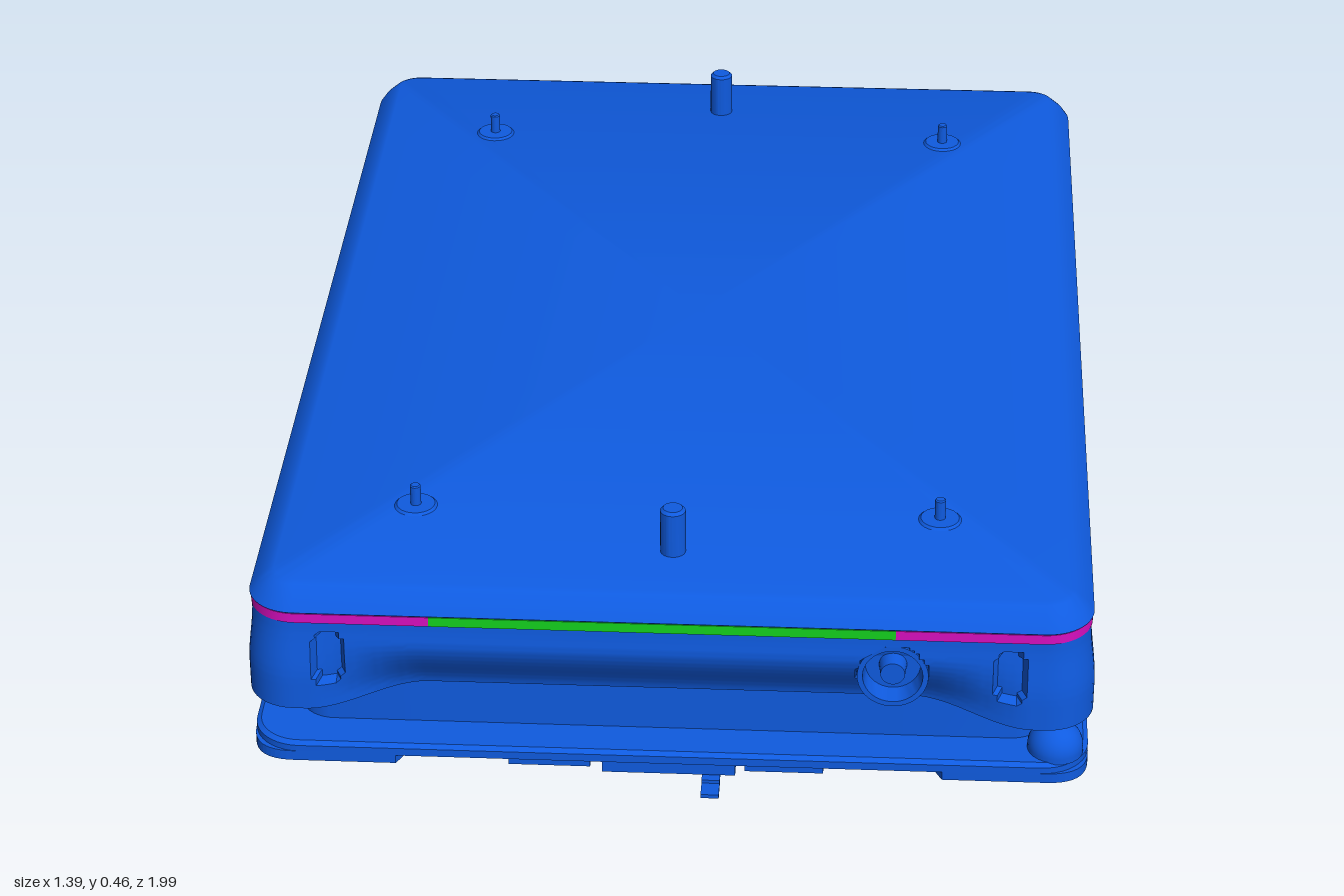
import * as THREE from 'three';
import { toCreasedNormals } from 'three/addons/utils/BufferGeometryUtils.js';

const paint = (c) => new THREE.MeshStandardMaterial({ color: c });
const BLUE = paint(0x0f5be0);
const ramp = THREE.MathUtils.smoothstep;

// Rounded rectangle in plan: points with outward normals
function outline(hx, hz, r, step) {
  const pts = [];
  const corners = [[1, 1], [-1, 1], [-1, -1], [1, -1]];
  corners.forEach(([sx, sz], k) => {
    const n = 10;
    let p;
    for (let i = 0; i <= n; i++) {
      const a = (k + i / n) * Math.PI / 2;
      const nx = Math.cos(a), nz = Math.sin(a);
      p = { x: sx * (hx - r) + nx * r, z: sz * (hz - r) + nz * r, nx, nz };
      pts.push(p);
    }
    const len = 2 * ((k % 2 ? hz : hx) - r);
    const m = Math.max(1, Math.round(len / step));
    for (let i = 1; i < m; i++) {
      const t = len * i / m;
      pts.push({ ...p, x: p.x - p.nz * t, z: p.z + p.nx * t });
    }
  });
  return pts;
}

// Skin between rows of [x, y, z] points, bottom to top
function loft(rows, keep = () => true, crease = 0.6) {
  const n = rows[0].length, index = [];
  for (let j = 0; j + 1 < rows.length; j++) {
    for (let i = 0; i < n; i++) {
      if (!keep(i)) continue;
      const k = (i + 1) % n;
      const a = j * n + i, b = j * n + k, c = a + n, d = b + n;
      index.push(a, c, b, b, c, d);
    }
  }
  const g = new THREE.BufferGeometry();
  g.setAttribute('position', new THREE.Float32BufferAttribute(rows.flat(2), 3));
  g.setIndex(index);
  return toCreasedNormals(g, crease);
}
const row = (pts, inset, y) => pts.map((p) => [p.x - p.nx * inset, y, p.z - p.nz * inset]);
const centre = (pts, y) => pts.map(() => [0, y, 0]);

// Closed slab from [inset, y] steps
function slab(hx, hz, r, steps) {
  const pts = outline(hx, hz, r, 0.2);
  return loft([centre(pts, steps[0][1]), ...steps.map(([s, y]) => row(pts, s, y)),
    centre(pts, steps[steps.length - 1][1])]);
}

const HX = 0.695, HZ = 0.982, R = 0.08, LED_Y = 0.313;
const BUTTON_Y = 0.24, BUTTON_R = 0.055;

// Depth of the button pockets and upright slots at a wall point
function pocket(p, y) {
  const front = Math.abs(p.nz) > 0.999, side = Math.abs(p.nx) > 0.999;
  if (!front && !side) return 0;
  const s = front ? p.x * Math.sign(p.nz) : -p.z * Math.sign(p.nx);
  const d = Math.hypot(s - (front ? 0.365 : 0.605), y - BUTTON_Y);
  if (d < BUTTON_R) return 0.035;
  if (!front) return 0;
  const dy = Math.max(0, Math.abs(y - 0.245) - 0.028);
  return Math.hypot(Math.abs(s) - 0.555, dy) < 0.021 ? 0.02 : 0;
}

// Shell wall: hollowed low along each side, full at the corners
function shellGeometry() {
  const pts = outline(HX, HZ, R, 0.008);
  const corner = pts.map((p) => {
    const d = Math.abs(p.nz) > Math.abs(p.nx) ? HX - Math.abs(p.x) : HZ - Math.abs(p.z);
    return 1 - ramp(d, 0.1, 0.3);
  });
  const rows = [], N = 26;
  for (let j = 0; j <= N; j++) {
    rows.push(pts.map((p, i) => {
      const low = 0.175 - 0.025 * corner[i];
      const y = low + (LED_Y - low) * j / N;
      const hollow = 0.055 * (1 - corner[i]) * (1 - ramp(y, 0.165, 0.28));
      const s = 0.01 * ramp(y, 0.2, LED_Y) + hollow + pocket(p, y);
      return [p.x - p.nx * s, y, p.z - p.nz * s];
    }));
  }
  return loft([centre(pts, 0.175), row(pts, 0.075, 0.175), ...rows]);
}

export function createModel() {
  const model = new THREE.Group();
  const body = new THREE.Group();
  body.name = 'body';
  body.position.z = -0.0075;
  model.add(body);

  const add = (name, geo, x = 0, y = 0, z = 0, mat = BLUE, parent = body) => {
    const m = new THREE.Mesh(geo, mat);
    m.name = name;
    m.position.set(x, y, z);
    parent.add(m);
    return m;
  };
  const box = (name, x0, x1, y0, y1, z0, z1) => add(name,
    new THREE.BoxGeometry(x1 - x0, y1 - y0, z1 - z0), (x0 + x1) / 2, (y0 + y1) / 2, (z0 + z1) / 2);

  // Base plate, with a lower skin notched at the front
  add('basePlate', slab(0.69, 0.98, 0.08, [[0, 0.06], [0, 0.074], [0.008, 0.08]]));
  const skin = new THREE.Shape();
  skin.moveTo(-0.62, -0.98).lineTo(0.62, -0.98).quadraticCurveTo(0.69, -0.98, 0.69, -0.91);
  skin.lineTo(0.69, 0.91).quadraticCurveTo(0.69, 0.98, 0.62, 0.98).lineTo(0.45, 0.98);
  skin.lineTo(0.41, 0.9).lineTo(-0.41, 0.9).lineTo(-0.45, 0.98).lineTo(-0.62, 0.98);
  skin.quadraticCurveTo(-0.69, 0.98, -0.69, 0.91).lineTo(-0.69, -0.91);
  skin.quadraticCurveTo(-0.69, -0.98, -0.62, -0.98);
  const skinGeo = new THREE.ExtrudeGeometry(skin, { depth: 0.018, bevelEnabled: false });
  add('lowerSkin', skinGeo.rotateX(Math.PI / 2), 0, 0.063, 0);

  // Chassis between plate and shell
  add('chassis', slab(0.62, 0.905, 0.06, [[0, 0.078], [0, 0.19]]));

  // Shell, light strip and top cover
  add('shell', shellGeometry());
  const lid = outline(0.687, 0.976, R, 0.02);
  const stripRows = [row(lid, 0.005, LED_Y), row(lid, 0, LED_Y), row(lid, 0, 0.33), row(lid, 0.005, 0.33)];
  const zone = (p) => (Math.abs(p.x) < 0.37 || Math.abs(p.z) < 0.735 ? 'side' : p.z > 0 ? 'front' : 'back');
  const lights = { side: 0x14d21e, front: 0xd80fc0, back: 0xe0a80c };
  for (const [key, color] of Object.entries(lights)) {
    add(key + 'LightStrip', loft(stripRows, (i) => zone(lid[i]) === key), 0, 0, 0, paint(color));
  }
  add('topCover', slab(0.689, 0.978, R, [[0.006, 0.328], [0, 0.333], [0.012, 0.35], [0.032, 0.368], [0.042, 0.372]]));

  // Locating pins on the deck
  const rounded = (r, h, c) => new THREE.LatheGeometry(
    [[0, 0], [r, 0], [r, h - c], [r - c, h], [0, h]].map(([x, y]) => new THREE.Vector2(x, y)), 24);
  for (const s of [1, -1]) {
    add('centrePin', toCreasedNormals(rounded(0.021, 0.085, 0.005), 0.5), 0, 0.37, s * 0.818);
    for (const sx of [1, -1]) {
      add('pinPad', toCreasedNormals(rounded(0.036, 0.006, 0.004), 0.5), sx * 0.437, 0.37, s * 0.698);
      add('smallPin', toCreasedNormals(rounded(0.009, 0.04, 0.002), 0.5), sx * 0.437, 0.372, s * 0.698);
    }
  }

  // Push button sunk in a ringed pocket
  const addButton = (parent, x, z, turn) => {
    const b = new THREE.Group();
    b.name = 'pushButton';
    b.position.set(x, BUTTON_Y, z);
    b.rotation.y = turn;
    parent.add(b);
    const cup = [[0, -0.034], [0.045, -0.034], [0.049, 0.002], [0.058, 0.002], [0.06, -0.02]];
    const cupGeo = new THREE.LatheGeometry(cup.map(([r, h]) => new THREE.Vector2(r, h)).reverse(), 36);
    const cupMat = BLUE.clone();
    cupMat.side = THREE.DoubleSide;
    add('buttonCup', toCreasedNormals(cupGeo.rotateX(Math.PI / 2), 0.5), 0, 0, 0, cupMat, b);
    const knob = new THREE.CylinderGeometry(0.02, 0.023, 0.03, 24).rotateX(Math.PI / 2);
    add('buttonKnob', knob, 0, 0, -0.02, BLUE, b);
  };

  // Parts repeated by a half turn: buttons and corner scanners
  for (const turn of [0, Math.PI]) {
    const half = new THREE.Group();
    half.name = turn ? 'rearHalf' : 'frontHalf';
    half.rotation.y = turn;
    body.add(half);
    addButton(half, 0.365, HZ - 0.012, 0);
    addButton(half, HX - 0.012, -0.605, Math.PI / 2);
    const dome = new THREE.SphereGeometry(0.046, 28, 12, 0, Math.PI * 2, 0, Math.PI / 2);
    add('cornerScanner', dome, 0.635, 0.086, 0.927, BLUE, half);
    add('scannerBase', new THREE.CylinderGeometry(0.046, 0.046, 0.01, 28), 0.635, 0.081, 0.927, BLUE, half);
    for (const z of [0.67, -0.67]) {
      add('chassisStud', new THREE.CylinderGeometry(0.013, 0.013, 0.008, 16).rotateZ(Math.PI / 2),
        0.622, 0.115, z, BLUE, half);
    }
  }

  // Drive wheels amidships, casters fore and aft
  for (const sx of [1, -1]) {
    for (const [name, z, r] of [['frontCaster', 0.66, 0.099], ['driveWheel', 0, 0.157], ['rearCaster', -0.66, 0.099]]) {
      const w = 0.0575;
      const prof = [[0, -w], [r - 0.01, -w], [r, 0.01 - w], [r, w - 0.01], [r - 0.01, w], [0, w]];
      const tyre = new THREE.LatheGeometry(prof.map(([x, y]) => new THREE.Vector2(x, y)), 48);
      add(name, toCreasedNormals(tyre.rotateZ(Math.PI / 2), 0.5), sx * 0.517, r, z);
    }
  }

  // Contact blocks and bent tab in the front notch
  box('centreContact', -0.11, 0.11, 0.03, 0.072, 0.9, 0.965);
  box('rightContact', -0.265, -0.13, 0.036, 0.066, 0.905, 0.96);
  box('leftContact', 0.125, 0.255, 0.036, 0.066, 0.905, 0.96);
  box('tabTip', 0.055, 0.085, 0.013, 0.02, 0.965, 1.0075);
  box('tabArm', 0.055, 0.085, 0.018, 0.026, 0.935, 0.975);
  box('tabRoot', 0.055, 0.085, 0.02, 0.04, 0.925, 0.94);
  return model;
}
